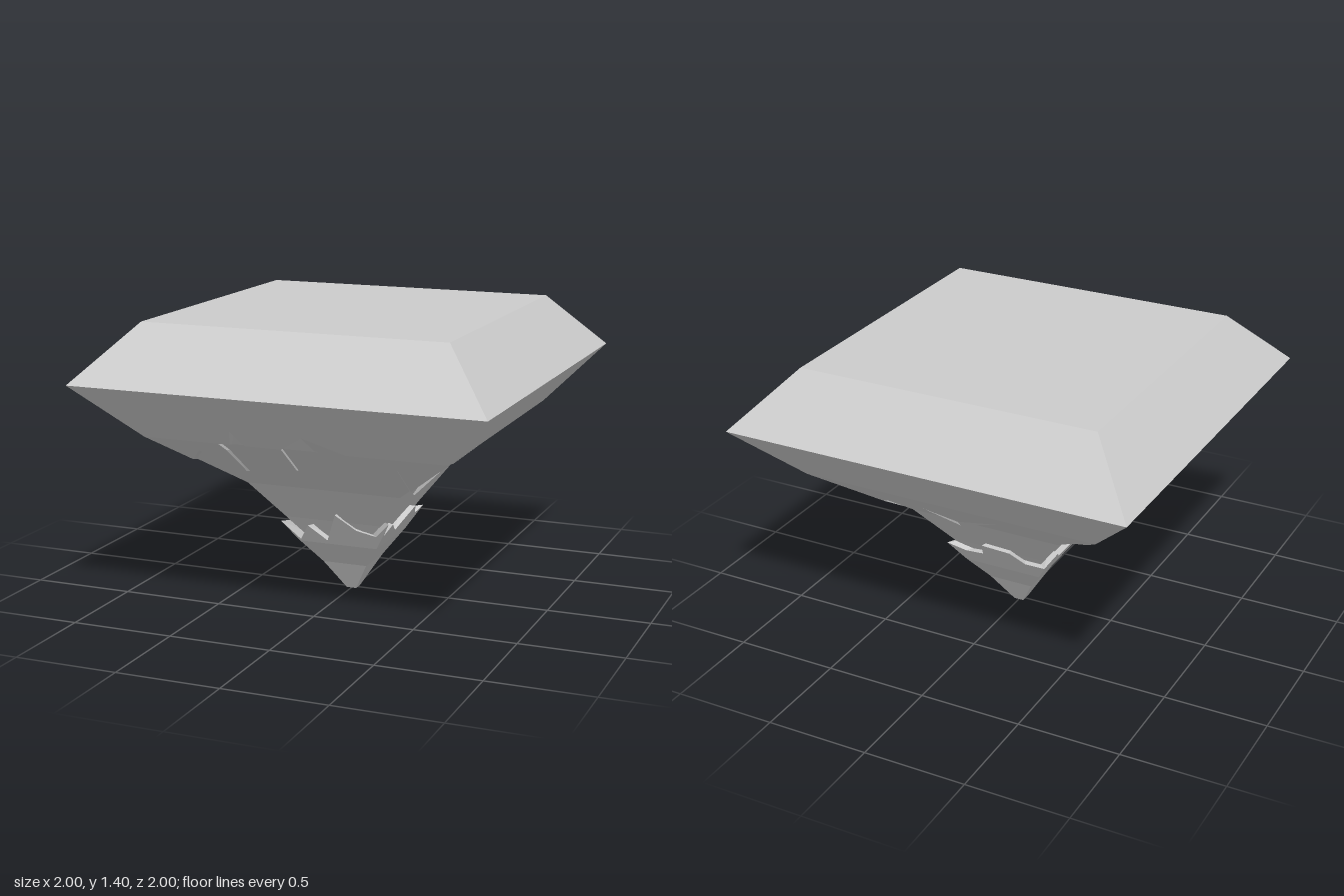
import * as THREE from 'three';

const material = new THREE.MeshStandardMaterial({ color: 0xcccccc, flatShading: true });

// Half-width of a square section at height y, from a profile of [y, halfWidth]
function widthAt(profile, y) {
  for (let i = 0; i < profile.length - 1; i++) {
    const [y0, r0] = profile[i], [y1, r1] = profile[i + 1];
    if ((y - y0) * (y - y1) <= 0 && y0 !== y1) return r0 + (r1 - r0) * (y - y0) / (y1 - y0);
  }
  return profile[profile.length - 1][1];
}

// Square shell that follows a profile and stops at a jagged edge.
// Each side's edge is a list of [position from -1 to 1, height].
function squareShell(name, profile, edges, lip) {
  const down = profile[0][0] > profile[profile.length - 1][0];
  const clamp = down ? Math.max : Math.min;
  const positions = [];
  edges.forEach((edge, side) => {
    const place = (s, y, r) =>
      new THREE.Vector3(s * r, y, r).applyAxisAngle(new THREE.Vector3(0, 1, 0), side * Math.PI / 2);
    const columns = edge.map(([s, edgeY]) => {
      const points = [place(s, profile[0][0], 0)]; // centre of the flat cap
      for (const [y] of profile) {
        const h = clamp(y, edgeY);
        points.push(place(s, h, widthAt(profile, h)));
      }
      const r = widthAt(profile, edgeY);
      points.push(place(s, edgeY, r), place(s, edgeY, r - lip)); // lip turned inward
      return points;
    });
    const triangle = (a, b, c) => {
      const area = b.clone().sub(a).cross(c.clone().sub(a)).length();
      if (area < 1e-7) return;
      for (const p of down ? [a, b, c] : [a, c, b]) positions.push(p.x, p.y, p.z);
    };
    for (let i = 0; i < columns.length - 1; i++) {
      const p = columns[i], q = columns[i + 1];
      for (let k = 0; k < p.length - 1; k++) {
        triangle(p[k], p[k + 1], q[k + 1]);
        triangle(p[k], q[k + 1], q[k]);
      }
    }
  });
  const geometry = new THREE.BufferGeometry();
  geometry.setAttribute('position', new THREE.Float32BufferAttribute(positions, 3));
  geometry.computeVertexNormals();
  const mesh = new THREE.Mesh(geometry, material);
  mesh.name = name;
  return mesh;
}

export function createModel() {
  const group = new THREE.Group();
  group.name = 'floatingRock';

  // Bevelled upper layer with a ragged hem; sides run front, left, back, right
  const crownProfile = [[1.4, 0.745], [1.13, 1], [0.86, 0.745], [0.59, 0.4], [0.5, 0.335]];
  const crownEdges = [
    [[-1, 0.73], [-0.75, 0.8], [-0.64, 0.68], [-0.5, 0.82], [-0.49, 0.86], [-0.41, 0.86], [-0.33, 0.94],
      [-0.31, 0.82], [-0.09, 0.72], [-0.067, 0.86], [0.1, 0.94], [0.356, 0.65], [0.4, 0.79], [0.55, 0.815],
      [0.73, 0.79], [1, 0.65]],
    [[-1, 0.65], [-0.57, 0.8], [-0.41, 0.75], [-0.28, 0.67], [-0.27, 0.53], [0, 0.59], [0.34, 0.74],
      [0.59, 0.69], [0.93, 0.58], [1, 0.66]],
    [[-1, 0.66], [-0.59, 0.8], [-0.42, 0.71], [-0.34, 0.56], [0.3, 0.75], [0.76, 0.65], [1, 0.795]],
    [[-1, 0.795], [-0.51, 0.69], [-0.42, 0.77], [-0.25, 0.64], [-0.13, 0.765], [0.18, 0.89], [0.47, 0.7],
      [0.5, 0.9], [1, 0.73]],
  ];
  group.add(squareShell('upperRock', crownProfile, crownEdges, 0.04));

  // Plain inner core showing between the two ragged layers
  const coreProfile = [[1, 0.845], [0.86, 0.728], [0.59, 0.388], [0.4, 0.25], [0.2, 0.115]];
  const coreEdges = Array.from({ length: 4 }, () => [[-1, 0.2], [1, 0.2]]);
  group.add(squareShell('middleRock', coreProfile, coreEdges, 0.115));

  // Pointed tip, thicker than the core, with a ragged rim
  const tipProfile = [[0, 0.025], [0.15, 0.113], [0.27, 0.2], [0.46, 0.32]];
  const tipEdges = [
    [[-1, 0.38], [-0.93, 0.28], [-0.5, 0.37], [-0.23, 0.29], [0.1, 0.45], [0.46, 0.37], [0.88, 0.345], [1, 0.43]],
    [[-1, 0.43], [-0.93, 0.35], [-0.68, 0.4], [-0.2, 0.33], [0.23, 0.43], [0.7, 0.36], [1, 0.38]],
    [[-1, 0.38], [-0.7, 0.35], [-0.3, 0.36], [-0.2, 0.43], [0.3, 0.42], [0.6, 0.36], [1, 0.36]],
    [[-1, 0.36], [-0.6, 0.41], [-0.3, 0.34], [0.2, 0.34], [0.4, 0.42], [0.8, 0.3], [1, 0.38]],
  ];
  group.add(squareShell('rockTip', tipProfile, tipEdges, 0.07));

  return group;
}
